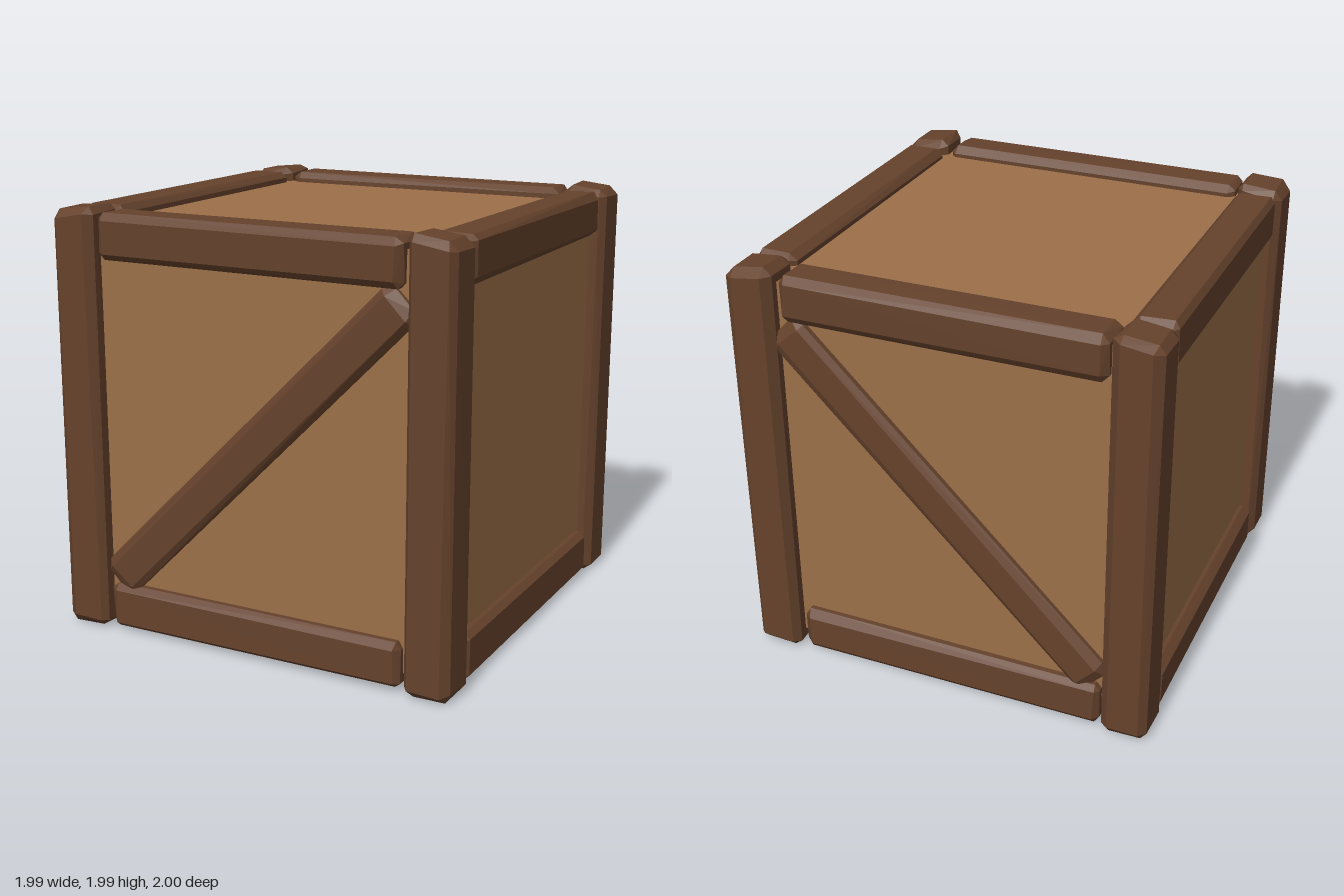
import * as THREE from 'three';
import { ConvexGeometry } from 'three/addons/geometries/ConvexGeometry.js';

const panelWood = new THREE.MeshStandardMaterial({ color: 0x9c7048, flatShading: true });
const beamWood = new THREE.MeshStandardMaterial({ color: 0x65422c, flatShading: true });

// Small seeded generator for the hand-hewn unevenness
let seed = 7;
function wobble(amount) {
  seed = (seed * 16807) % 2147483647;
  return (seed / 2147483647 - 0.5) * 2 * amount;
}

// Beam with bevelled edges and corners: three points per corner, slightly uneven.
// cut = bevel along each axis, warp = optional change to each point
function beam(name, size, cut, position, warp) {
  const points = [];
  for (const sx of [-1, 1]) for (const sy of [-1, 1]) for (const sz of [-1, 1]) {
    const s = [sx, sy, sz];
    for (let face = 0; face < 3; face++) {
      const c = s.map((sign, i) => {
        const inset = i === face ? 0 : cut[i] + wobble(0.008);
        return sign * (size[i] / 2 - inset - Math.abs(wobble(0.006)));
      });
      const p = new THREE.Vector3(...c);
      if (warp) warp(p);
      points.push(p);
    }
  }
  const mesh = new THREE.Mesh(new ConvexGeometry(points), beamWood);
  mesh.name = name;
  mesh.position.set(...position);
  return mesh;
}

export function createModel() {
  seed = 7;
  const crate = new THREE.Group();
  crate.name = 'crate';

  // Recessed panels
  const box = new THREE.Mesh(new THREE.BoxGeometry(1.84, 1.84, 1.84), panelWood);
  box.name = 'panels';
  box.position.y = 1;
  crate.add(box);

  // Corner posts, tops sloping down towards the outside
  for (const x of [-1, 1]) for (const z of [-1, 1]) {
    crate.add(beam('cornerPost', [0.225, 2, 0.235], [0.035, 0.035, 0.035],
      [x * 0.882, 1, z * 0.882], (p) => {
        if (p.y > 0) p.y -= 0.12 * (p.x * x + 0.1);
      }));
  }

  // Top and bottom rails between the posts
  for (const y of [0.12, 1.865]) for (const side of [-1, 1]) {
    crate.add(beam(side > 0 ? 'frontRail' : 'backRail', [1.51, 0.22, 0.205],
      [0.03, 0.03, 0.03], [-0.005, y, side * 0.875]));
    crate.add(beam(side > 0 ? 'leftRail' : 'rightRail', [0.205, 0.22, 1.52],
      [0.03, 0.03, 0.03], [side * 0.875, y, 0]));
  }

  // Diagonal braces on the front and back
  for (const side of [-1, 1]) {
    const brace = beam(side > 0 ? 'frontBrace' : 'backBrace', [2.1, 0.205, 0.11],
      [0.05, 0.035, 0.025], [0.01, 0.98, side * 0.915]);
    brace.rotation.z = Math.PI / 4;
    crate.add(brace);
  }
  return crate;
}
